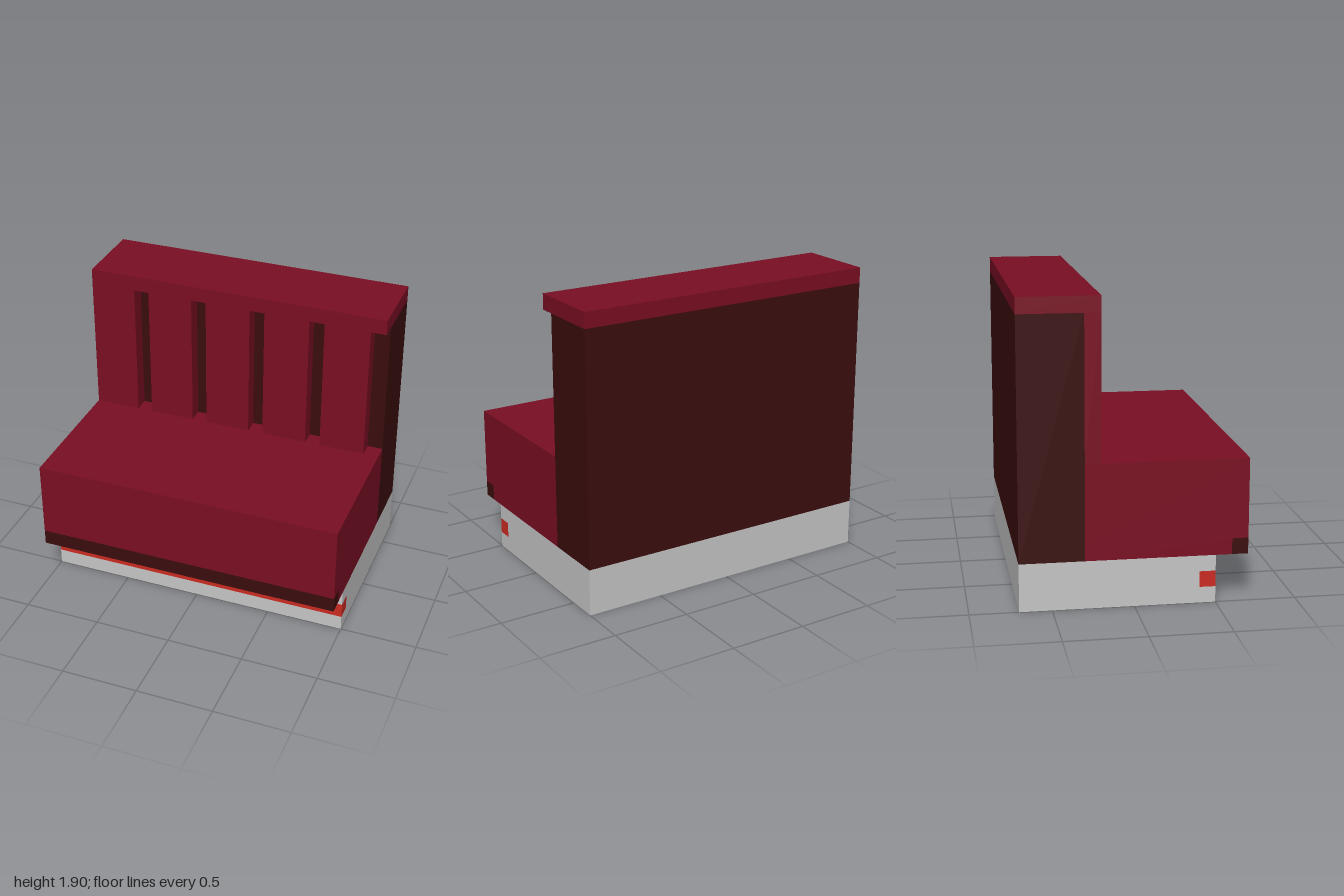
import * as THREE from 'three';

const SIDES = ['right', 'left', 'top', 'bottom', 'front', 'back'].reverse();
const FACE = { left: 0, right: 1, top: 2, bottom: 3, front: 4, back: 5 }; // left is +x

function paint(name, color) {
  const m = new THREE.MeshStandardMaterial({ color, side: THREE.DoubleSide });
  m.name = name;
  return m;
}

// A hollow box that keeps only the listed sides
function shell(name, material, [x0, x1], [y0, y1], [z0, z1], faces = SIDES) {
  const g = new THREE.BoxGeometry(x1 - x0, y1 - y0, z1 - z0);
  g.translate((x0 + x1) / 2, (y0 + y1) / 2, (z0 + z1) / 2);
  const index = Array.from(g.index.array);
  g.setIndex(faces.flatMap((f) => index.slice(FACE[f] * 6, FACE[f] * 6 + 6)));
  g.clearGroups();
  const mesh = new THREE.Mesh(g, material);
  mesh.name = name;
  return mesh;
}

export function createModel() {
  const crimson = paint('crimson upholstery', 0x7a0e22);
  const brown = paint('dark brown wood', 0x3b0d0d);
  const grey = paint('light grey', 0xc6c6c6);
  const red = paint('bright red', 0xcc2b22);

  const model = new THREE.Group();
  model.name = 'boothBench';
  const W = [-1, 1];
  const ends = ['left', 'right'];

  // Plinth: open frame with a red stripe along the front
  const plinth = new THREE.Group();
  plinth.name = 'plinth';
  plinth.add(
    shell('plinthLower', grey, W, [0, 0.1], [-0.7, 0.5], [...ends, 'front', 'back']),
    shell('plinthMiddle', grey, W, [0.1, 0.2], [-0.7, 0.4], [...ends, 'back']),
    shell('plinthStripe', red, W, [0.1, 0.2], [0.4, 0.5], [...ends, 'front']),
    shell('plinthUpper', grey, W, [0.2, 0.3], [-0.7, 0.5], [...ends, 'front', 'back']),
  );

  // Seat: hollow cushion block with a dark strip under its front edge
  const seat = new THREE.Group();
  seat.name = 'seat';
  seat.add(
    shell('seatSides', crimson, W, [0.4, 0.9], [-0.3, 0.7], [...ends, 'front']),
    shell('seatTop', crimson, W, [0.4, 0.9], [-0.2, 0.7], ['top']),
    shell('seatLowerSides', crimson, W, [0.3, 0.4], [-0.3, 0.6], ends),
    shell('seatUnderside', crimson, W, [0.3, 0.4], [0.5, 0.6], ['bottom']),
    shell('seatFrontStrip', brown, W, [0.3, 0.4], [0.6, 0.7], [...ends, 'front', 'bottom']),
  );

  // Backrest: dark casing and a padded top rail
  const backrest = new THREE.Group();
  backrest.name = 'backrest';
  backrest.add(
    shell('backCasing', brown, W, [0.3, 1.8], [-0.7, -0.3], [...ends, 'back']),
    shell('topRail', crimson, W, [1.8, 1.9], [-0.7, -0.2], [...ends, 'front', 'back', 'top']),
  );

  // Five padded panels, each followed by a groove
  for (let i = 0; i < 5; i++) {
    const x = -1 + i * 0.4;
    const groove = [x + 0.3, x + 0.4];
    const depth = [-0.3, -0.2];
    backrest.add(
      shell('backPanel', crimson, [x, x + 0.3], [0.9, 1.8], depth, [...ends, 'front']),
      shell('grooveBack', brown, groove, [0.9, 1.8], depth, ['back']),
      shell('grooveEnds', crimson, groove, [0.9, 1.8], depth, ['top', 'bottom']),
    );
  }

  model.add(plinth, seat, backrest);
  return model;
}
